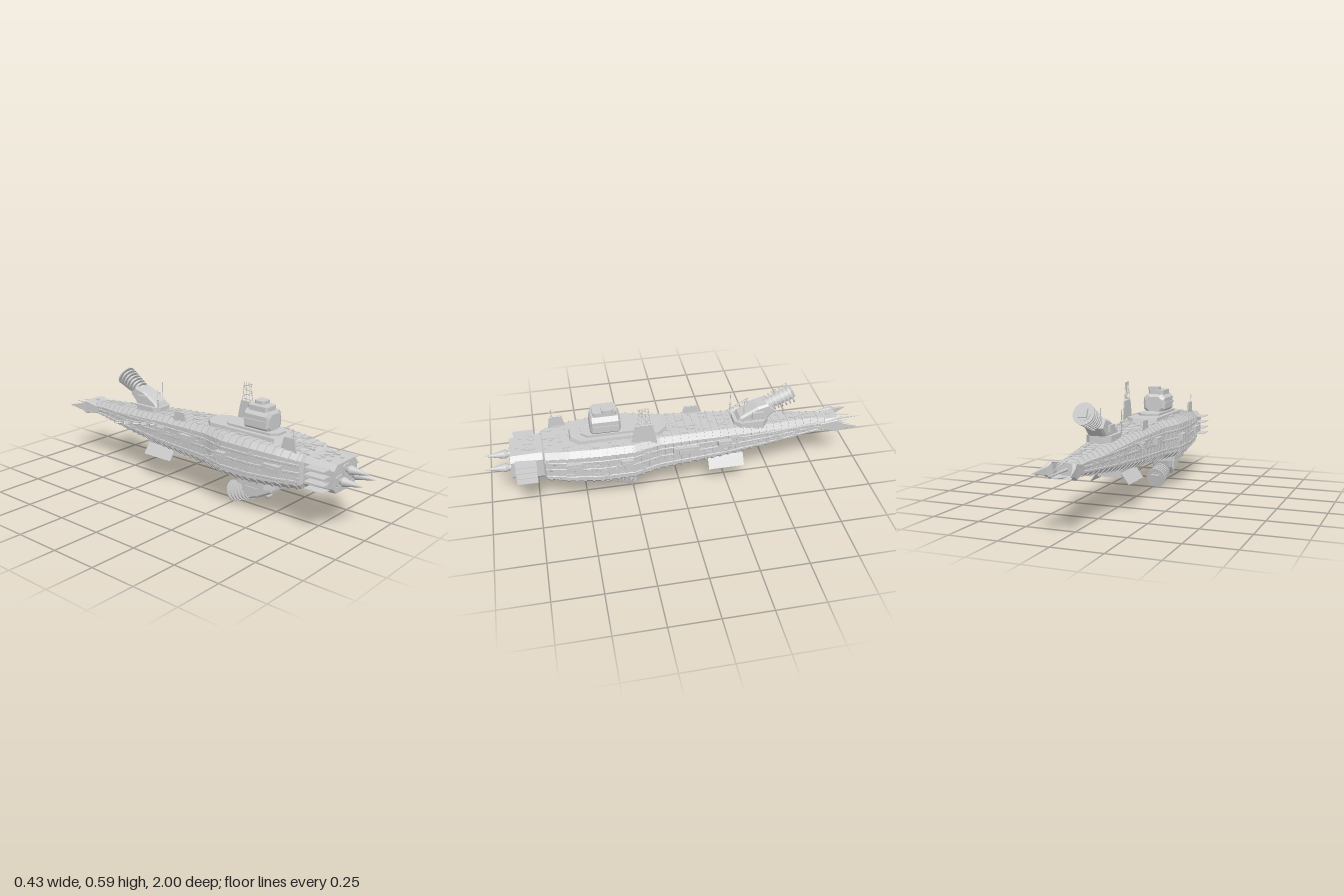
import * as THREE from 'three';
import { mergeGeometries } from 'three/addons/utils/BufferGeometryUtils.js';

const CX = 0.015; // hull centre line
const mat = new THREE.MeshStandardMaterial({ color: 0xcccccc, flatShading: true, side: THREE.DoubleSide });

// hull stations: z, half width, top, bottom
const HULL = [
  [0.87, 0.1, 0.37, 0.23], [0.71, 0.106, 0.378, 0.222], [0.7, 0.125, 0.385, 0.215], [0.58, 0.15, 0.394, 0.205],
  [0.43, 0.167, 0.4, 0.196], [0.26, 0.167, 0.4, 0.196], [0.12, 0.128, 0.397, 0.2], [-0.2, 0.108, 0.385, 0.215],
  [-0.45, 0.085, 0.367, 0.236], [-0.7, 0.055, 0.35, 0.262], [-0.8, 0.05, 0.338, 0.278],
];

function hullAt(z) {
  let i = 0;
  while (i < HULL.length - 2 && z < HULL[i + 1][0]) i++;
  const a = HULL[i], b = HULL[i + 1], t = (a[0] - z) / (a[0] - b[0]);
  return a.map((v, k) => v + (b[k] - v) * t);
}

// chamfered rectangle at depth z, counter-clockwise from the front
function oct(z, cx, hw, yt, yb, ch) {
  const c = Math.min(ch, hw * 0.9, (yt - yb) * 0.45);
  return [[hw, yb + c], [hw, yt - c], [hw - c, yt], [c - hw, yt], [-hw, yt - c], [-hw, yb + c], [c - hw, yb], [hw - c, yb]]
    .map(([x, y]) => new THREE.Vector3(cx + x, y, z));
}

// skin over sections listed from front to back
function loft(rings, capBack = true) {
  const p = [], tri = (...v) => v.forEach((q) => p.push(q.x, q.y, q.z));
  const n = rings[0].length;
  for (let i = 0; i < rings.length - 1; i++) for (let j = 0; j < n; j++) {
    const k = (j + 1) % n, A = rings[i], B = rings[i + 1];
    tri(A[j], B[j], A[k]);
    tri(A[k], B[j], B[k]);
  }
  const E = rings[rings.length - 1];
  for (let j = 1; j < n - 1; j++) {
    tri(rings[0][0], rings[0][j], rings[0][j + 1]);
    if (capBack) tri(E[0], E[j + 1], E[j]);
  }
  const g = new THREE.BufferGeometry();
  g.setAttribute('position', new THREE.Float32BufferAttribute(p, 3));
  g.computeVertexNormals();
  return g;
}

const box = (x, y, z, w, h, d) => new THREE.BoxGeometry(w, h, d).translate(x, y, z);

// thin bar between two points
function beam(a, b, r, r2 = r, n = 6) {
  const A = new THREE.Vector3(...a), d = new THREE.Vector3(...b).sub(A);
  const q = new THREE.Quaternion().setFromUnitVectors(new THREE.Vector3(0, 1, 0), d.clone().normalize());
  return new THREE.CylinderGeometry(r2, r, d.length(), n).applyQuaternion(q).translate(...A.addScaledVector(d, 0.5).toArray());
}

// side profile of (z, y) points given a width along x
function profile(pts, x, w) {
  const s = new THREE.Shape(pts.map((q) => new THREE.Vector2(...q)));
  const b = Math.min(0.01, w * 0.2);
  return new THREE.ExtrudeGeometry(s, { depth: w - 2 * b, bevelSize: b, bevelThickness: b, bevelOffset: -b, bevelSegments: 1 })
    .translate(0, 0, b - w / 2).rotateY(-Math.PI / 2).translate(x, 0, 0);
}

// chamfered block with a vertical axis
function block(x, z, hw, hd, y0, y1, ch, taper = 1) {
  return loft([oct(y1, 0, hw * taper, hd * taper, -hd * taper, ch), oct(y0, 0, hw, hd, -hd, ch)])
    .rotateX(-Math.PI / 2).translate(x, 0, z);
}

// ribbed gun barrel with a square muzzle
function barrel(a, b) {
  const A = new THREE.Vector3(...a), d = new THREE.Vector3(...b).sub(A), L = d.length(), parts = [];
  parts.push(new THREE.CylinderGeometry(0.036, 0.028, L, 20).translate(0, L / 2, 0));
  for (let i = 0; i < 7; i++) {
    const r = 0.043 + i * 0.002;
    parts.push(new THREE.CylinderGeometry(r, r, 0.007, 24).translate(0, L * (0.12 + i * 0.14), 0));
  }
  parts.push(box(0, L + 0.004, 0, 0.045, 0.014, 0.045));
  const q = new THREE.Quaternion().setFromUnitVectors(new THREE.Vector3(0, 1, 0), d.normalize());
  return mergeGeometries(parts).applyQuaternion(q).translate(...A.toArray());
}

export function createModel() {
  const root = new THREE.Group();
  const add = (name, ...geos) => {
    const list = geos.map((g) => { const n = g.index ? g.toNonIndexed() : g; n.deleteAttribute('uv'); return n; });
    const m = new THREE.Mesh(mergeGeometries(list), mat);
    m.name = name;
    root.add(m);
  };
  let seed = 7;
  const rnd = () => (seed = (seed * 16807) % 2147483647) / 2147483647;

  // hull, frames and stringers
  add('hull', loft(HULL.map(([z, w, t, b]) => oct(z, CX, w, t, b, 0.026))));
  const ribs = [];
  for (let z = 0.68; z > -0.78; z -= 0.042) {
    const ring = (zz) => { const [, w, t, b] = hullAt(zz); return oct(zz, CX, w + 0.005, t + 0.003, b - 0.004, 0.028); };
    ribs.push(loft([ring(z + 0.006), ring(z - 0.006)]));
  }
  add('hullRibs', ...ribs);
  const rails = [];
  for (const s of [-1, 1]) for (const f of [0.25, 0.5, 0.72])
    rails.push(loft(HULL.slice(2).map(([z, w, t, b]) => {
      const y = b + (t - b) * f;
      return oct(z, CX + s * w, 0.007, y + 0.006, y - 0.006, 0.002);
    })));
  add('sideRails', ...rails);

  // small surface fittings on all four sides
  const bits = [];
  for (let i = 0; i < 560; i++) {
    const z = 0.84 - rnd() * 1.58, [, w, t, b] = hullAt(z), f = rnd() * 2 - 1;
    const l = 0.008 + rnd() * 0.03, k = 0.005 + rnd() * 0.012, h = 0.004 + rnd() * 0.007;
    if (i % 4 < 2) bits.push(box(CX + f * (w - 0.035), i % 2 ? t : b, z, k, h * 1.5, l));
    else bits.push(box(CX + (i % 2 ? w : -w), (t + b) / 2 + f * ((t - b) / 2 - 0.035), z, h * 1.5, k, l));
  }
  add('surfaceFittings', ...bits);

  // nose plate with three cones
  const cones = [[CX, 0.331], [CX - 0.056, 0.29], [CX + 0.056, 0.29]];
  add('nosePanels', ...cones.map(([x, y]) => loft([oct(0.876, x, 0.026, y + 0.026, y - 0.026, 0.008), oct(0.86, x, 0.026, y + 0.026, y - 0.026, 0.008)])),
    box(CX, 0.25, 0.872, 0.006, 0.035, 0.006), box(CX, 0.26, 0.872, 0.16, 0.004, 0.006));
  add('noseCones', ...cones.flatMap(([x, y]) => [beam([x, y, 0.87], [x, y, 0.895], 0.011, 0.021, 24), beam([x, y, 0.895], [x, y, 1], 0.023, 0.0005, 24)]));

  // stacked radiator plates beside the nose
  const plates = [];
  for (const s of [-1, 1]) for (let i = 0; i < 4; i++) plates.push(box(CX + s * 0.122, 0.248 + i * 0.034, 0.797, 0.065, 0.003, 0.105));
  add('radiatorPlates', ...plates);

  // deckhouse and bridge
  add('deckhouse', block(CX, 0.32, 0.085, 0.25, 0.39, 0.418, 0.045, 0.97), block(CX, 0.35, 0.06, 0.16, 0.41, 0.43, 0.03));
  add('bridge', loft([[0.462, 0.045, 0.02], [0.452, 0.062, 0.006], [0.32, 0.062, 0.006], [0.308, 0.048, 0.02]]
    .map(([z, w, i]) => oct(z, 0.018, w, 0.53 - i, 0.42 + i * 0.5, 0.02))),
    block(0.015, 0.385, 0.043, 0.06, 0.515, 0.546, 0.012), block(0.035, 0.37, 0.03, 0.03, 0.54, 0.562, 0.01),
    box(0.018, 0.475, 0.385, 0.134, 0.012, 0.13));
  add('bridgeVents', ...[-2, -1, 0, 1, 2].map((i) => box(CX + i * 0.015, 0.386, 0.62, 0.011, 0.02, 0.02)));

  // tall lattice pylon and small fins
  const px = 0.135, lattice = [];
  for (let i = 0; i < 4; i++) {
    const z = 0.167 + i * 0.023;
    lattice.push(beam([px, 0.49, z], [px, 0.6, 0.18 + i * 0.014], 0.0018));
    lattice.push(beam([px, 0.51 + i * 0.024, 0.165 + i * 0.003], [px, 0.51 + i * 0.024, 0.237 - i * 0.003], 0.0018));
    lattice.push(beam([px, 0.5 + i * 0.024, i % 2 ? 0.17 : 0.232], [px, 0.524 + i * 0.024, i % 2 ? 0.232 : 0.17], 0.0015));
  }
  add('pylon', profile([[0.27, 0.38], [0.245, 0.5], [0.16, 0.5], [0.135, 0.38]], px, 0.006), ...lattice);
  add('smallFins', profile([[0.67, 0.375], [0.655, 0.455], [0.595, 0.455], [0.575, 0.375]], -0.09, 0.008),
    profile([[-0.03, 0.375], [-0.045, 0.435], [-0.11, 0.435], [-0.13, 0.375]], -0.075, 0.008));

  // antennas and outrigger boom
  add('antennas', beam([-0.09, 0.44, 0.645], [-0.09, 0.5, 0.645], 0.002), beam([-0.09, 0.48, 0.625], [-0.09, 0.48, 0.665], 0.0015),
    beam([-0.09, 0.49, 0.632], [-0.09, 0.49, 0.658], 0.0015), beam([-0.03, 0.37, -0.28], [-0.03, 0.51, -0.28], 0.002),
    beam([0.06, 0.37, -0.33], [0.06, 0.52, -0.33], 0.002), new THREE.SphereGeometry(0.007, 10, 8).translate(-0.03, 0.45, -0.28),
    beam([0.117, 0.22, 0.05], [0.117, 0.127, 0.05], 0.002), beam([0.065, 0.2, 0.3], [0.105, 0.145, 0.3], 0.002));
  const boom = [];
  for (const [dx, dy] of [[0, 0.006], [0.005, -0.004], [-0.005, -0.004]])
    boom.push(beam([-0.085 + dx, 0.338 + dy, -0.23], [-0.21 + dx, 0.34 + dy, -0.43], 0.0018));
  for (let i = 0; i < 12; i++) {
    const t = i / 12, x = -0.085 - 0.125 * t, z = -0.23 - 0.2 * t;
    boom.push(beam([x + 0.004, 0.334, z], [x - 0.01, 0.345, z - 0.016], 0.0015));
  }
  add('boom', ...boom);

  // side pods: side, y, z, length
  const pods = [[-1, 0.305, 0.27, 0.06], [1, 0.325, 0.3, 0.06], [1, 0.33, 0.56, 0.08], [-1, 0.305, 0.57, 0.09], [1, 0.325, -0.01, 0.13],
    [1, 0.325, -0.215, 0.07], [-1, 0.32, -0.19, 0.05], [-1, 0.32, 0.0, 0.07]];
  add('sidePods', ...pods.flatMap(([s, y, z, l]) => {
    const x = CX + s * hullAt(z)[1];
    return [box(x + s * 0.006, y, z, 0.04, 0.036, l), box(x + s * 0.012, y - 0.005, z, 0.035, 0.02, l * 0.6)];
  }));

  // upper rear turret
  add('upperTurret', block(0.025, -0.37, 0.065, 0.09, 0.355, 0.402, 0.03),
    profile([[-0.295, 0.395], [-0.31, 0.425], [-0.4, 0.475], [-0.46, 0.49], [-0.5, 0.445], [-0.45, 0.395]], 0.025, 0.095),
    box(0.025, 0.435, -0.4, 0.12, 0.035, 0.06));
  add('upperBarrel', barrel([0.027, 0.46, -0.45], [0.032, 0.525, -0.585]));

  // lower turret
  add('lowerTurret', block(-0.015, 0.41, 0.085, 0.12, 0.155, 0.215, 0.04),
    profile([[0.525, 0.2], [0.515, 0.135], [0.45, 0.1], [0.38, 0.072], [0.335, 0.11], [0.31, 0.2]], -0.02, 0.11),
    box(-0.02, 0.125, 0.4, 0.13, 0.04, 0.08), new THREE.SphereGeometry(0.022, 16, 12).translate(-0.005, 0.095, 0.45));
  add('lowerBarrel', barrel([-0.02, 0.103, 0.38], [-0.02, 0.066, 0.24]));

  // keel bay with flared doors
  const bay = [];
  for (const s of [-1, 1]) {
    bay.push(new THREE.BoxGeometry(0.004, 0.07, 0.19).rotateZ(s * 0.65).translate(CX + s * 0.084, 0.177, -0.235));
    bay.push(box(CX + s * 0.058, 0.2, -0.235, 0.01, 0.04, 0.19), box(CX, 0.2, -0.235 + s * 0.09, 0.12, 0.04, 0.01));
  }
  for (let i = 0; i < 5; i++) bay.push(box(CX, 0.195, -0.3 + i * 0.032, 0.11, 0.014, 0.008));
  add('keelBay', ...bay);
  const keel = [];
  for (let i = 0; i < 14; i++) { const z = 0.26 - i * 0.024; keel.push(box(CX + (i % 3 - 1) * 0.03, hullAt(z)[3] - 0.006, z, 0.02, 0.02, 0.008)); }
  add('keelFittings', ...keel);

  // open tail frame, blades and spike
  add('tailDuct', loft([oct(-0.78, CX, 0.05, 0.338, 0.276, 0.012), oct(-0.85, CX, 0.057, 0.345, 0.27, 0.014)], false));
  const blade = (s) => loft([[-0.7, 0.052, 0.002, 0.004], [-0.84, 0.058, 0.012, 0.038], [-0.87, 0.069, 0.008, 0.02], [-0.945, 0.091, 0.001, 0.002]]
    .map(([z, x, w, h]) => oct(z, CX + s * x, w, 0.307 + h, 0.307 - h, 0.003)));
  add('tailBlades', blade(1), blade(-1));
  add('tailSpike', beam([CX, 0.305, -0.78], [CX, 0.305, -1], 0.009, 0.001, 8),
    beam([CX, 0.345, -0.8], [CX, 0.322, -0.93], 0.006, 0.001), beam([CX, 0.27, -0.8], [CX, 0.29, -0.93], 0.006, 0.001));
  return root;
}
